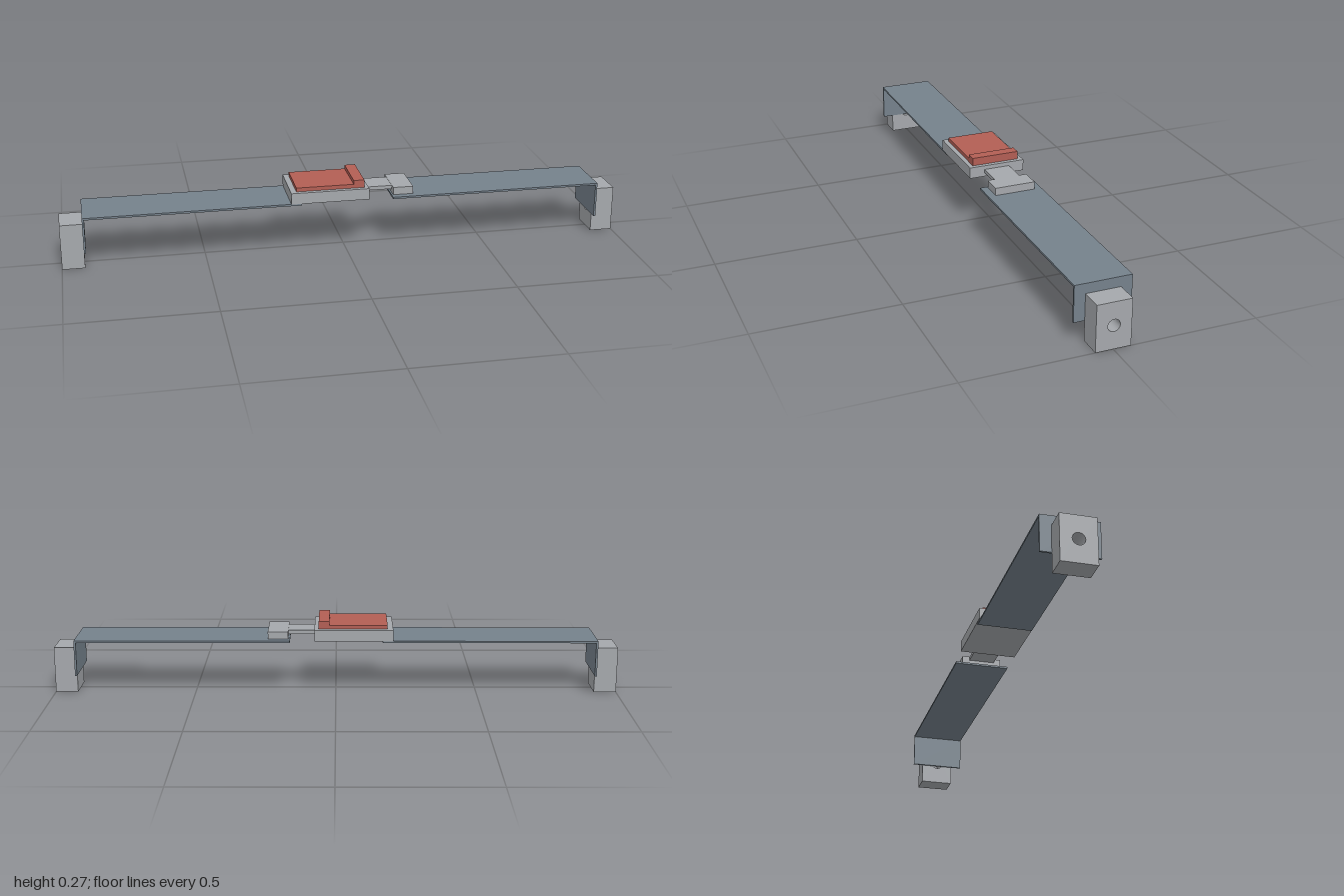
import * as THREE from 'three';

export function createModel() {
  const root = new THREE.Group();
  const metal = new THREE.MeshStandardMaterial({ color: 0xa5a8ac });
  metal.name = 'light grey metal';
  const webbing = new THREE.MeshStandardMaterial({ color: 0x75818b });
  webbing.name = 'slate webbing';
  const red = new THREE.MeshStandardMaterial({ color: 0xb25e54 });
  red.name = 'red button';

  // Box given by its x and y limits and half depth in z
  const box = (name, mat, x0, x1, y0, y1, halfZ, parent = root) => {
    const mesh = new THREE.Mesh(new THREE.BoxGeometry(x1 - x0, y1 - y0, halfZ * 2), mat);
    mesh.position.set((x0 + x1) / 2, (y0 + y1) / 2, 0);
    mesh.name = name;
    parent.add(mesh);
  };

  // Strap with a bent-down outer end, extruded across its width
  const strap = (name, inner, side) => {
    const s = new THREE.Shape();
    [[inner, 0.198], [0.922, 0.198], [0.922, 0.07], [0.915, 0.07], [0.915, 0.191], [inner, 0.191]]
      .forEach(([x, y], i) => (i ? s.lineTo(x * side, y) : s.moveTo(x * side, y)));
    const geo = new THREE.ExtrudeGeometry(s, { depth: 0.196, bevelEnabled: false });
    geo.translate(0, 0, -0.098);
    const mesh = new THREE.Mesh(geo, webbing);
    mesh.name = name;
    root.add(mesh);
  };
  strap('leftStrap', 0.162, 1);
  strap('rightStrap', 0.165, -1);

  // End anchor blocks with a bolt hole running along x
  const face = new THREE.Shape();
  face.moveTo(-0.06, 0).lineTo(0.06, 0).lineTo(0.06, 0.163).lineTo(-0.06, 0.163).closePath();
  const hole = new THREE.Path();
  hole.absarc(0, 0.082, 0.021, 0, Math.PI * 2, true);
  face.holes.push(hole);
  const blockGeo = new THREE.ExtrudeGeometry(face, { depth: 0.079, bevelEnabled: false, curveSegments: 24 });
  blockGeo.translate(0, 0, -0.0395).rotateY(Math.PI / 2);
  for (const side of [1, -1]) {
    const block = new THREE.Mesh(blockGeo, metal);
    block.position.x = side * 0.9605;
    block.name = side > 0 ? 'leftAnchor' : 'rightAnchor';
    root.add(block);
  }

  // Buckle housing with a pressed button and raised lip
  const buckle = new THREE.Group();
  buckle.name = 'buckle';
  root.add(buckle);
  box('buckleHousing', metal, -0.202, 0.075, 0.198, 0.238, 0.101, buckle);
  box('releaseButton', red, -0.182, 0.022, 0.238, 0.252, 0.085, buckle);
  box('buttonLip', red, 0.022, 0.06, 0.238, 0.266, 0.085, buckle);

  // Latch tongue joining the buckle to the left strap
  box('tongueBlade', metal, 0.075, 0.168, 0.211, 0.224, 0.046);
  box('tonguePlate', metal, 0.168, 0.24, 0.198, 0.225, 0.072);

  return root;
}
